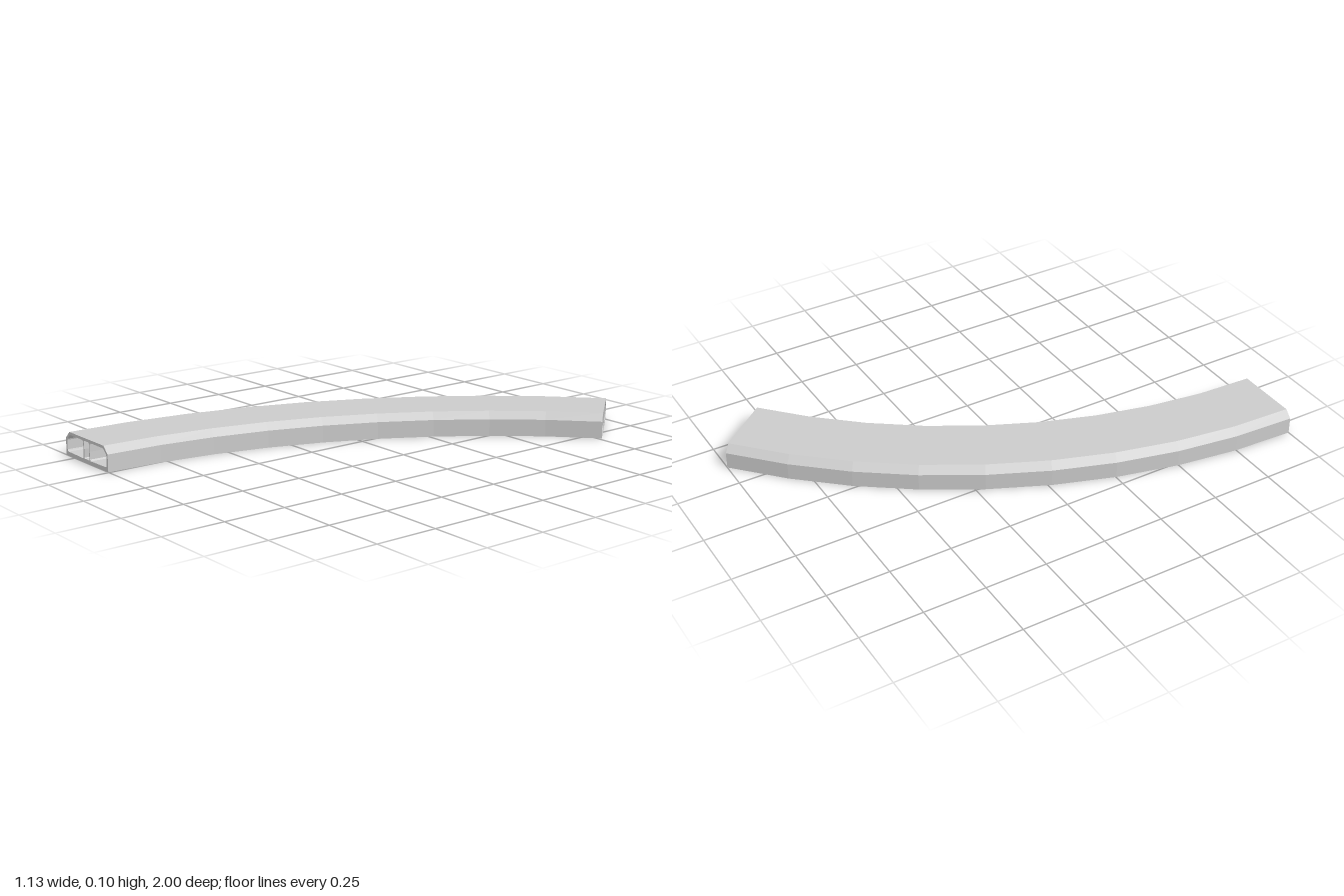
import * as THREE from 'three';

const WIDTH = 0.308, HEIGHT = 0.096, CHAMFER = 0.028;
const OUTER_RADIUS = 2.622, SWEEP = THREE.MathUtils.degToRad(49.7), STEPS = 9;
const FRONT_Z = 1, CENTRE_X = -0.5625 + OUTER_RADIUS;

const toPoints = (list) => list.map(([x, y]) => new THREE.Vector2(x, y));
const mirrored = (list) => list.map(([x, y]) => [WIDTH - x, y]).reverse();

// Hollow cross-section: chamfered outline, two side channels, a pinched centre channel
function profile() {
  const shape = new THREE.Shape(toPoints([
    [0, 0], [WIDTH, 0], [WIDTH, HEIGHT - CHAMFER], [WIDTH - CHAMFER, HEIGHT],
    [CHAMFER, HEIGHT], [0, HEIGHT - CHAMFER],
  ]));
  const side = [
    [0.010, 0.024], [0.012, 0.019], [0.017, 0.016], [0.126, 0.014], [0.130, 0.020],
    [0.131, 0.050], [0.130, 0.079], [0.127, 0.085], [0.034, 0.085], [0.029, 0.083],
    [0.012, 0.066], [0.010, 0.061],
  ];
  const halfCentre = [
    [0.138, 0.085], [0.135, 0.082], [0.137, 0.052], [0.135, 0.018], [0.138, 0.015],
  ];
  for (const hole of [side, mirrored(side), [...halfCentre, ...mirrored(halfCentre)]]) {
    shape.holes.push(new THREE.Path(toPoints(hole)));
  }
  return shape;
}

// Bend the straight extrusion around the arc centre
function bend(geometry) {
  const pos = geometry.attributes.position;
  for (let i = 0; i < pos.count; i++) {
    const radius = OUTER_RADIUS - pos.getX(i);
    const angle = -pos.getZ(i) * SWEEP;
    pos.setX(i, CENTRE_X - radius * Math.cos(angle));
    pos.setZ(i, FRONT_Z - radius * Math.sin(angle));
  }
  geometry.computeVertexNormals();
  return geometry;
}

export function createModel() {
  const group = new THREE.Group();
  group.name = 'curvedHollowRail';
  const geometry = new THREE.ExtrudeGeometry(profile(), {
    depth: 1, steps: STEPS, bevelEnabled: false,
  });
  geometry.translate(0, 0, -1);
  const rail = new THREE.Mesh(
    bend(geometry),
    new THREE.MeshStandardMaterial({ color: 0xcccccc, flatShading: true }),
  );
  rail.name = 'rail';
  group.add(rail);
  return group;
}
